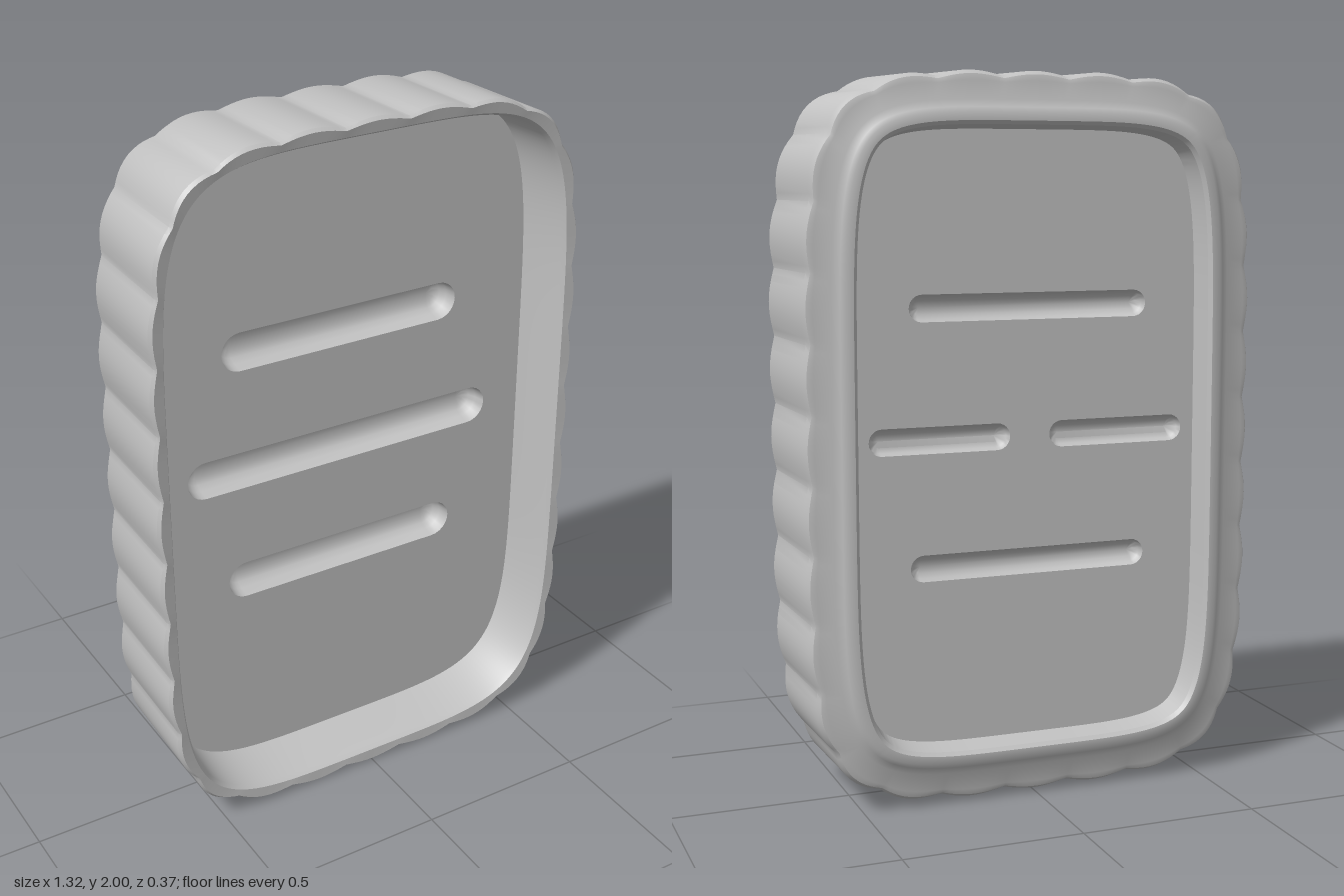
import * as THREE from 'three';
import { toCreasedNormals } from 'three/addons/utils/BufferGeometryUtils.js';

const HALF_W = 0.66, HALF_H = 1.0, POWER_X = 4.4, POWER_Y = 5.5, LOBES = 32, PER_LOBE = 10;
const FLOOR_FRONT = 0.005, FLOOR_BACK = -0.11;

// Evenly spaced points and normals around the bowed rounded rectangle
function makeOutline() {
  const fine = [];
  const signedPow = (v, p) => Math.sign(v) * Math.pow(Math.abs(v), p);
  for (let i = 0; i < 8000; i++) {
    const t = (i / 8000) * Math.PI * 2;
    fine.push(new THREE.Vector2(
      HALF_W * signedPow(Math.cos(t), 2 / POWER_X),
      HALF_H * signedPow(Math.sin(t), 2 / POWER_Y)
    ));
  }
  const lengths = [0];
  for (let i = 1; i <= fine.length; i++) {
    lengths.push(lengths[i - 1] + fine[i % fine.length].distanceTo(fine[i - 1]));
  }
  const count = LOBES * PER_LOBE, total = lengths[fine.length], result = [];
  for (let k = 0, j = 0; k < count; k++) {
    const target = (k / count) * total;
    while (lengths[j + 1] < target) j++;
    const f = (target - lengths[j]) / (lengths[j + 1] - lengths[j] || 1);
    const p = fine[j].clone().lerp(fine[(j + 1) % fine.length], f);
    const n = new THREE.Vector2(
      POWER_X * signedPow(p.x / HALF_W, POWER_X - 1) / HALF_W,
      POWER_Y * signedPow(p.y / HALF_H, POWER_Y - 1) / HALF_H
    ).normalize();
    result.push({ p, n, lobe: 1 - Math.abs(Math.cos((k / PER_LOBE) * Math.PI)) });
  }
  return result;
}

// Outline moved inward, with optional scallop valleys
function insetRing(outline, inset, scallop = 0) {
  return outline.map(({ p, n, lobe }) => p.clone().addScaledVector(n, -inset - scallop * lobe));
}

// Capsule-shaped ring around a horizontal slot
function capsuleRing(x, y, halfLength, radius) {
  const points = [], steps = 12;
  for (const side of [1, -1]) {
    for (let i = 0; i <= steps; i++) {
      const a = (i / steps - 0.5) * Math.PI;
      points.push(new THREE.Vector2(
        x + side * (halfLength + Math.cos(a) * radius),
        y + side * Math.sin(a) * radius
      ));
    }
  }
  return points;
}

// Skin joining closed rings, each given as [points, z]
function loft(rings, crease) {
  const positions = [], index = [], n = rings[0][0].length;
  for (const [points, z] of rings) for (const p of points) positions.push(p.x, p.y, z);
  for (let k = 0; k < rings.length - 1; k++) {
    for (let i = 0; i < n; i++) {
      const j = (i + 1) % n;
      const a = k * n + i, b = k * n + j, c = a + n, d = b + n;
      index.push(a, c, b, b, c, d);
    }
  }
  const geometry = new THREE.BufferGeometry();
  geometry.setAttribute('position', new THREE.Float32BufferAttribute(positions, 3));
  geometry.setIndex(index);
  return toCreasedNormals(geometry, crease);
}

// Flat panel pierced by slots given as [x, y, half length]
function panel(points, slots, radius) {
  const shape = new THREE.Shape(points);
  for (const [x, y, half] of slots) {
    shape.holes.push(new THREE.Path(capsuleRing(x, y - 1, half, radius)));
  }
  return new THREE.ShapeGeometry(shape);
}

// Blind groove from a section of [radius, z] pairs, listed with z rising
function groove([x, y, half], section) {
  return loft(section.map(([r, z]) => [capsuleRing(x, y - 1, half, r), z]), 0.8);
}

export function createModel() {
  const group = new THREE.Group();
  const grey = new THREE.MeshStandardMaterial({ color: 0xc2c2c2 });
  grey.name = 'plain grey';
  const add = (name, geometry) => {
    const mesh = new THREE.Mesh(geometry, grey);
    mesh.name = name;
    mesh.position.y = 1;
    group.add(mesh);
  };
  const outline = makeOutline();

  // Scalloped wall with rolled edges and the raised foot ring behind: [inset, z, scallop]
  const profile = [
    [0.055, FLOOR_FRONT, 0], [0.046, 0.165, 0], [0.038, 0.18, 0], [0.008, 0.183, 0.012],
    [0, 0.173, 0.014], [0.008, -0.145, 0.014], [0.018, -0.162, 0.012], [0.035, -0.167, 0.006],
    [0.085, -0.167, 0], [0.105, -0.18, 0], [0.118, -0.188, 0], [0.14, -0.188, 0],
    [0.15, -0.178, 0], [0.16, FLOOR_BACK, 0]
  ];
  add('scallopedWall', loft(profile.map(([d, z, s]) => [insetRing(outline, d, s), z]), 0.6));

  // Front floor and its rounded grooves
  const frontSlots = [[0, 1.365, 0.315], [0, 1.008, 0.43], [0, 0.655, 0.315]];
  const frontRadius = 0.056;
  add('trayFloor', panel(insetRing(outline, 0.055), frontSlots, frontRadius).translate(0, 0, FLOOR_FRONT));
  const frontSection = [
    [0, -0.06], [0.024, -0.058], [0.04, -0.049], [0.05, -0.03], [frontRadius, FLOOR_FRONT]
  ];
  for (const slot of frontSlots) add('frontGroove', groove(slot, frontSection));

  // Back panel inside the foot ring, with narrower grooves; the middle one is split in two
  const backSlots = [[0, 1.365, 0.31], [0.26, 1.008, 0.165], [-0.26, 1.008, 0.165], [0, 0.655, 0.31]];
  const backRadius = 0.037;
  add('backPanel', panel(insetRing(outline, 0.16), backSlots, backRadius)
    .rotateY(Math.PI).translate(0, 0, FLOOR_BACK));
  const backSection = [[backRadius, FLOOR_BACK], [0.031, -0.092], [0.018, -0.08], [0, -0.076]];
  for (const slot of backSlots) add('backGroove', groove(slot, backSection));

  group.name = 'scallopedTray';
  return group;
}
